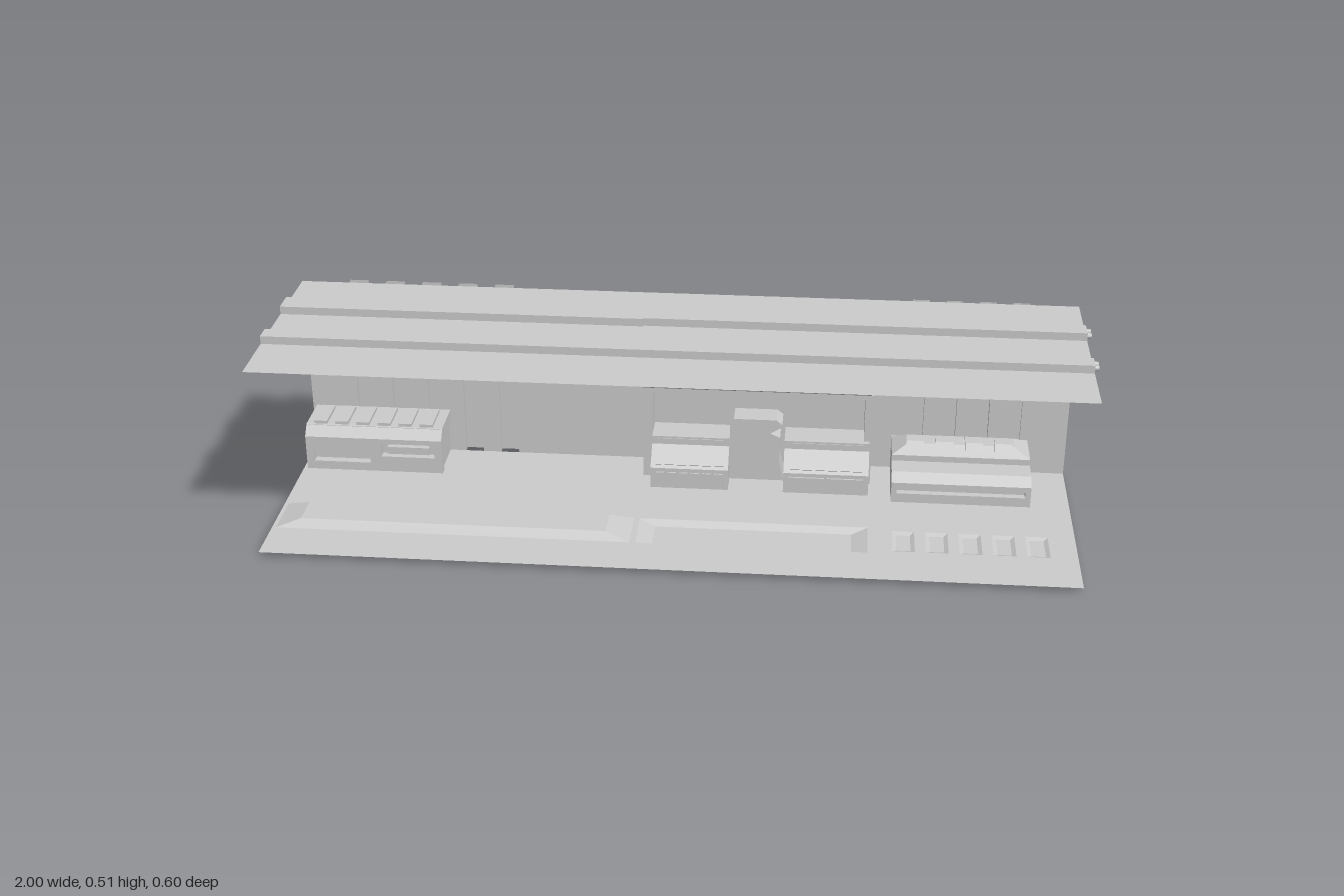
import * as THREE from 'three';

const material = new THREE.MeshStandardMaterial({ color: 0xcccccc, flatShading: true, side: THREE.DoubleSide });
const BASE = 0.012, ROOF = 0.487, BACK = -0.285;

export function createModel() {
  const model = new THREE.Group();

  const add = (name, geometry, parent = model) => {
    const mesh = new THREE.Mesh(geometry, material);
    mesh.name = name;
    parent.add(mesh);
    return mesh;
  };
  const group = (name) => {
    const g = new THREE.Group();
    g.name = name;
    model.add(g);
    return g;
  };
  const box = (name, x0, x1, y0, y1, z0, z1, parent) =>
    add(name, new THREE.BoxGeometry(x1 - x0, y1 - y0, z1 - z0)
      .translate((x0 + x1) / 2, (y0 + y1) / 2, (z0 + z1) / 2), parent);

  // Solid with a [z, y] side profile, running along x
  const prism = (name, profile, x0, x1, parent) => {
    const shape = new THREE.Shape(profile.map(([z, y]) => new THREE.Vector2(-z, y)));
    const g = new THREE.ExtrudeGeometry(shape, { depth: x1 - x0, bevelEnabled: false });
    return add(name, g.rotateY(Math.PI / 2).translate(x0, 0, 0), parent);
  };

  // Thin folded sheet: two matching rows of 3D points joined by quads
  const sheet = (name, rowA, rowB, parent) => {
    const n = rowA.length, index = [];
    for (let i = 0; i < n - 1; i++) index.push(i, i + 1, n + i, i + 1, n + i + 1, n + i);
    const g = new THREE.BufferGeometry();
    g.setAttribute('position', new THREE.Float32BufferAttribute([...rowA, ...rowB].flat(), 3));
    g.setIndex(index);
    const flat = g.toNonIndexed();
    flat.computeVertexNormals();
    return add(name, flat, parent);
  };

  // Sloped-edge tray or mound between two heights
  const tray = (name, x0, x1, z0, z1, y0, y1, dx, dz, parent) => {
    const ring = (a, b, y) => [
      [x0 + a, y, z0 + b], [x0 + a, y, z1 - b], [x1 - a, y, z1 - b], [x1 - a, y, z0 + b], [x0 + a, y, z0 + b]];
    const inner = ring(dx, dz, y1);
    sheet(name + 'Slopes', ring(0, 0, y0), inner, parent);
    sheet(name + 'Flat', [inner[0], inner[1]], [inner[3], inner[2]], parent);
  };

  const rectPath = (Type, x0, x1, y0, y1) => new Type([[x0, y0], [x1, y0], [x1, y1], [x0, y1]]
    .map(([x, y]) => new THREE.Vector2(x, y)));

  // Floor with raised strip, sunken pit and a row of shallow dimples
  const floor = group('floor');
  const trays = [
    ['raisedStrip', -0.99, -0.105, 0.048, 0.172, 0.03, 0.06, 0.02],
    ['sunkenPit', -0.09, 0.48, 0.048, 0.172, 0, 0.04, 0.018],
  ];
  for (let i = 0; i < 5; i++) {
    const x = 0.54 + i * 0.082;
    trays.push(['dimple', x, x + 0.055, 0.06, 0.16, 0.007, 0.01, 0.012]);
  }
  const plan = rectPath(THREE.Shape, -1, 0.99, -0.297, -BACK);
  for (const [name, x0, x1, z0, z1, y, dx, dz] of trays) {
    plan.holes.push(rectPath(THREE.Path, x0, x1, -z1, -z0));
    tray(name, x0, x1, z0, z1, BASE, y, dx, dz, floor);
  }
  add('floorSheet', new THREE.ShapeGeometry(plan).rotateX(-Math.PI / 2).translate(0, BASE, 0), floor);

  // Back wall with two groups of folded ribs
  const path = [[-1, BACK]];
  for (let i = 0; i < 5; i++) {
    const x = -0.877 + i * 0.095;
    path.push([x, BACK], [x, -0.304], [x + 0.048, -0.304], [x + 0.048, BACK]);
  }
  for (let i = 0; i < 4; i++) {
    const x = 0.575 + i * 0.084;
    path.push([x, i ? -0.275 : BACK], [x, -0.295], [x + 0.043, -0.295], [x + 0.043, i < 3 ? -0.275 : BACK]);
  }
  path.push([0.99, BACK]);
  sheet('backWall', path.map(([x, z]) => [x, BASE, z]), path.map(([x, z]) => [x, ROOF, z]));

  // Roof with two raised channels; the rear one narrows part way along
  const roof = group('roof');
  const top = 0.507;
  const roofPart = (x0, x1, rear, front) => {
    const section = [[BACK, ROOF]];
    for (const [a, b] of [rear, front]) {
      section.push([a, ROOF], [a, top], [b, top], [b, ROOF]);
      for (const x of [x0, x1])
        sheet('channelEnd', [[x, ROOF, a], [x, top, a]], [[x, ROOF, b], [x, top, b]], roof);
    }
    section.push([0.277, ROOF]);
    sheet('roofSheet', section.map(([z, y]) => [x0, y, z]), section.map(([z, y]) => [x1, y, z]), roof);
  };
  roofPart(-1, -0.09, [-0.13, -0.068], [0.07, 0.115]);
  roofPart(-0.09, 0.99, [-0.122, -0.073], [0.07, 0.115]);
  for (const z of [-0.105, -0.081, 0.085, 0.106])
    add('pipeEnd', new THREE.CylinderGeometry(0.007, 0.007, 0.03, 12)
      .rotateZ(Math.PI / 2).translate(0.985, 0.497, z), roof);

  // Left-hand cabinet: holed front plate, sloped top and louvres
  const cabinet = group('cabinet');
  prism('cabinetBody', [[BACK, BASE], [-0.17, BASE], [-0.17, 0.13], [BACK, 0.13]], -0.985, -0.635, cabinet);
  const plate = rectPath(THREE.Shape, -0.99, -0.63, BASE, 0.105);
  plate.holes.push(rectPath(THREE.Path, -0.97, -0.82, 0.035, 0.068), rectPath(THREE.Path, -0.79, -0.65, 0.055, 0.095));
  add('cabinetFront', new THREE.ExtrudeGeometry(plate, { depth: 0.022, bevelEnabled: false })
    .translate(0, 0, -0.17), cabinet);
  prism('cabinetTop', [[BACK, 0.105], [-0.148, 0.105], [-0.172, 0.131], [BACK, 0.131]], -0.99, -0.63, cabinet);
  box('drawer', -0.775, -0.665, 0.06, 0.08, -0.17, -0.155, cabinet);
  box('lowerTray', -0.97, -0.82, 0.05, 0.068, -0.17, -0.158, cabinet);
  for (let i = 0; i < 6; i++) {
    const x = -0.97 + i * 0.056;
    box('louvre', x, x + 0.034, 0.13, 0.139, -0.27, -0.175, cabinet);
  }

  // Central alcove: side pillars, back panel, lintel and hooded canopy
  const alcove = group('alcove');
  for (const [x0, x1] of [[-0.105, -0.08], [0.465, 0.485]])
    box('pillar', x0, x1, BASE, 0.265, BACK, -0.185, alcove);
  box('alcoveBack', -0.08, 0.465, BASE, 0.255, BACK, -0.25, alcove);
  box('lintel', -0.08, 0.465, 0.252, 0.265, BACK, -0.185, alcove);
  prism('hood', [[BACK, 0.265], [-0.185, 0.265], [-0.128, 0.34], [BACK, 0.34]], -0.105, 0.48, alcove);
  box('hoodTop', -0.11, 0.487, 0.338, 0.36, -0.28, -0.123, alcove);
  prism('hoodPanel', [[-0.171, 0.28], [-0.167, 0.279], [-0.135, 0.323], [-0.139, 0.324]], 0.12, 0.45, alcove);

  // Two sloped desks with screen bars and ribbed fronts
  const deskProfile = [[-0.25, BASE], [-0.12, BASE], [-0.12, 0.068], [-0.17, 0.113], [-0.17, 0.135], [-0.25, 0.135]];
  for (const [x0, x1, ribs] of [[-0.08, 0.12, 6], [0.262, 0.48, 2]]) {
    const desk = group('desk');
    prism('deskBody', deskProfile, x0, x1, desk);
    prism('deskPanel', [[-0.158, 0.1], [-0.128, 0.073], [-0.126, 0.076], [-0.156, 0.103]], x0 + 0.012, x1 - 0.012, desk);
    box('screenBar', x0 + 0.015, x1 - 0.015, 0.117, 0.13, -0.172, -0.168, desk);
    const step = (x1 - x0 - 0.02) / ribs;
    for (let i = 0; i < ribs; i++)
      box('frontPanel', x0 + 0.014 + i * step, x0 + 0.006 + (i + 1) * step, 0.02, 0.058, -0.121, -0.115, desk);
  }

  // Notched block between the desks
  const block = new THREE.Shape([[0.12, BASE], [0.26, BASE], [0.248, 0.07], [0.25, 0.135], [0.225, 0.147], [0.255, 0.165],
    [0.255, 0.172], [0.24, 0.185], [0.13, 0.185], [0.12, 0.178]].map(([x, y]) => new THREE.Vector2(x, y)));
  add('middleBlock', new THREE.ExtrudeGeometry(block, { depth: 0.065, bevelEnabled: false }).translate(0, 0, -0.25));

  // Right-hand console: slotted body between end plates, with a chamfered top
  const bench = group('console');
  const back = [[BACK, BASE], [-0.112, BASE], [-0.087, 0.015]];
  const rise = [[-0.087, 0.07], [-0.112, 0.09], [-0.172, 0.09], [-0.172, 0.106], [BACK, 0.106]];
  const slot = [[-0.087, 0.04], [-0.105, 0.04], [-0.105, 0.056], [-0.087, 0.056]];
  prism('consoleBody', [...back, ...slot, ...rise], 0.552, 0.876, bench);
  for (const [x0, x1] of [[0.538, 0.552], [0.876, 0.89]]) prism('endPlate', [...back, ...rise], x0, x1, bench);
  tray('consoleTop', 0.538, 0.89, -0.28, -0.172, 0.106, 0.127, 0.04, 0.03, bench);
  for (let i = 0; i < 4; i++) {
    const x = 0.575 + i * 0.075;
    prism('topPad', [[-0.26, 0.118], [-0.185, 0.118], [-0.205, 0.132], [-0.24, 0.132]], x, x + 0.045, bench);
  }

  return model;
}
